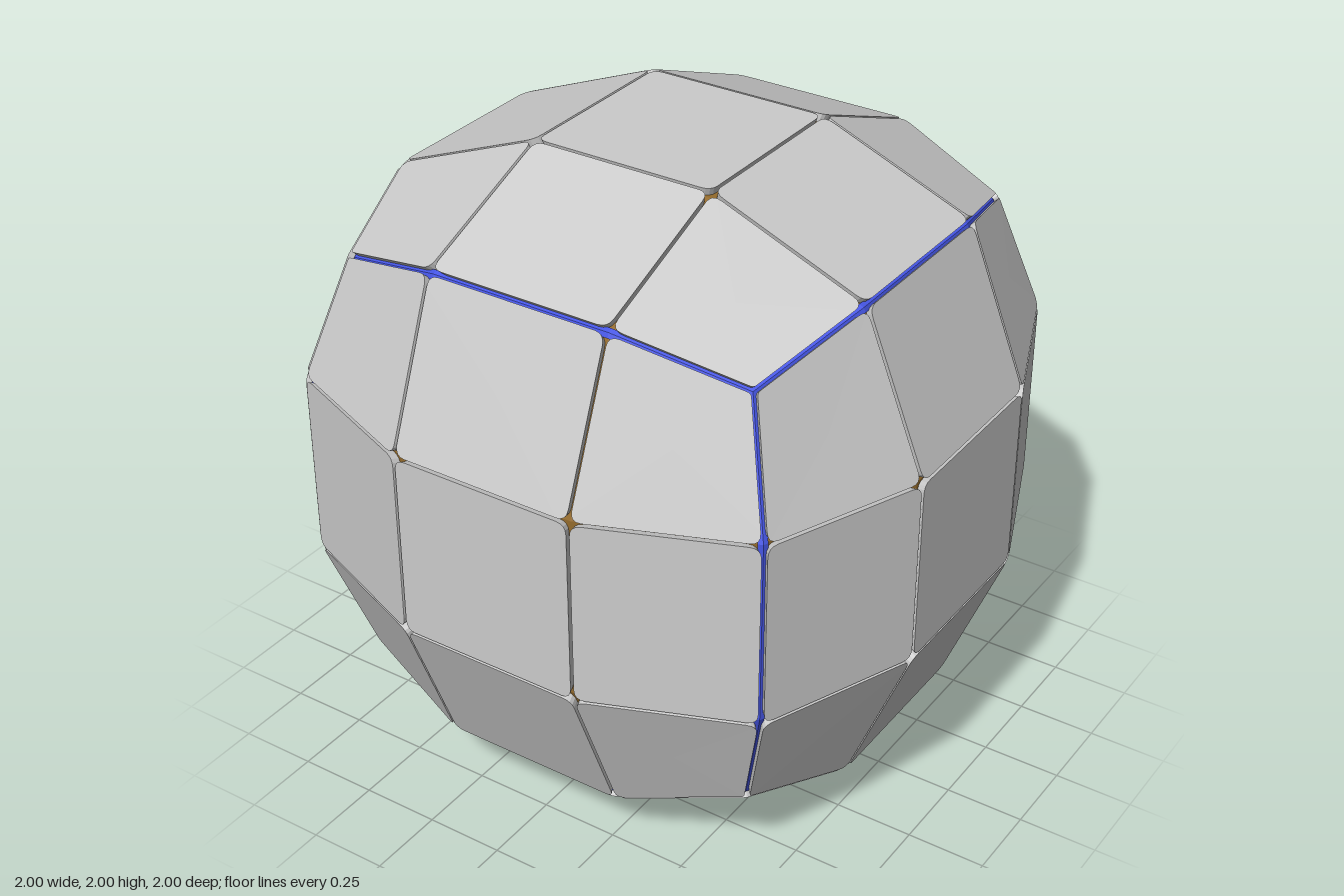
import * as THREE from 'three';

const grey = new THREE.MeshStandardMaterial({ color: 0xcccccc, flatShading: true });
const brown = new THREE.MeshStandardMaterial({ color: 0x946b2c, flatShading: true });
const blue = new THREE.MeshStandardMaterial({ color: 0x4656e6, flatShading: true });

// Corner (i, j) of the 3 x 3 tile grid on the face looking along +z
function gridPoint(i, j) {
  const sx = i < 2 ? -1 : 1, sy = j < 2 ? -1 : 1;
  const outerX = i % 3 === 0, outerY = j % 3 === 0;
  if (outerX && outerY) return new THREE.Vector3(sx * 0.69, sy * 0.69, 0.69);
  if (outerX) return new THREE.Vector3(sx * 0.8, sy * 0.3, 0.8);
  if (outerY) return new THREE.Vector3(sx * 0.3, sy * 0.8, 0.8);
  return new THREE.Vector3(sx * 0.3, sy * 0.3, 1);
}

function meshFrom(triangles, material, name) {
  const geometry = new THREE.BufferGeometry().setFromPoints(triangles);
  geometry.computeVertexNormals();
  const mesh = new THREE.Mesh(geometry, material);
  mesh.name = name;
  return mesh;
}

const quad = (a, b, c, d) => [a, b, c, a, c, d];
const cells = (i, j) => [[i, j], [i + 1, j], [i + 1, j + 1], [i, j + 1]];
const isCubeCorner = ([i, j]) => i % 3 === 0 && j % 3 === 0;
// Gap on the grid line between two corners: wider along the cube edges
function gap(a, b) {
  const border = (a[0] === b[0] && a[0] % 3 === 0) || (a[1] === b[1] && a[1] % 3 === 0);
  return border ? 0.009 : 0.005;
}

// Flat tile with rounded corners and sides running toward the centre
function makeTile(i, j) {
  const ids = cells(i, j);
  const pts = ids.map(([a, b]) => gridPoint(a, b));
  const ring = [];
  for (let k = 0; k < 4; k++) {
    const n = (k + 1) % 4, q = (k + 3) % 4;
    const toNext = pts[n].clone().sub(pts[k]).normalize();
    const toPrev = pts[q].clone().sub(pts[k]).normalize();
    const sin = toNext.clone().cross(toPrev).length();
    const p = pts[k].clone()
      .addScaledVector(toNext, gap(ids[q], ids[k]) / sin)
      .addScaledVector(toPrev, gap(ids[k], ids[n]) / sin);
    const r = isCubeCorner(ids[k]) ? 0.01 : 0.034;
    const start = p.clone().addScaledVector(toPrev, r);
    const end = p.clone().addScaledVector(toNext, r);
    ring.push(...new THREE.QuadraticBezierCurve3(start, p, end).getPoints(4));
  }
  const inner = ring.map((p) => p.clone().multiplyScalar(0.96));
  const centre = ring.reduce((s, p) => s.add(p), new THREE.Vector3()).divideScalar(ring.length);
  const tris = [];
  ring.forEach((p, k) => {
    const n = (k + 1) % ring.length;
    tris.push(centre, p, ring[n], ...quad(p, inner[k], inner[n], ring[n]));
  });
  return meshFrom(tris, grey, 'tile');
}

function makeFace() {
  const face = new THREE.Group();
  face.name = 'face';

  // Tiles and the core surface just below them
  const core = [];
  for (let i = 0; i < 3; i++) {
    for (let j = 0; j < 3; j++) {
      face.add(makeTile(i, j));
      core.push(...quad(...cells(i, j).map(([a, b]) => gridPoint(a, b).multiplyScalar(0.975))));
    }
  }
  face.add(meshFrom(core, brown, 'core'));

  // Narrow coloured seam along the cube edges
  const loop = [];
  for (let k = 0; k < 3; k++) loop.push([k, 0]);
  for (let k = 0; k < 3; k++) loop.push([3, k]);
  for (let k = 3; k > 0; k--) loop.push([k, 3]);
  for (let k = 3; k > 0; k--) loop.push([0, k]);
  const clamp = (v) => Math.min(2, Math.max(1, v));
  const outer = loop.map(([a, b]) => gridPoint(a, b).multiplyScalar(0.982));
  const inner = loop.map(([a, b], k) => {
    const dir = gridPoint(clamp(a), clamp(b)).sub(gridPoint(a, b)).normalize();
    return outer[k].clone().addScaledVector(dir, isCubeCorner([a, b]) ? 0.022 : 0.016);
  });
  const seam = [];
  loop.forEach((_, k) => {
    const n = (k + 1) % loop.length;
    seam.push(...quad(outer[k], outer[n], inner[n], inner[k]));
  });
  face.add(meshFrom(seam, blue, 'seam'));
  return face;
}

export function createModel() {
  const model = new THREE.Group();
  model.name = 'tiledBall';
  const half = Math.PI / 2;
  const sides = {
    frontFace: [0, 0], leftFace: [0, half], backFace: [0, Math.PI],
    rightFace: [0, -half], topFace: [-half, 0], bottomFace: [half, 0],
  };
  const pattern = makeFace();
  for (const [name, [rx, ry]] of Object.entries(sides)) {
    const face = pattern.clone();
    face.name = name;
    face.rotation.set(rx, ry, 0);
    face.position.y = 1;
    model.add(face);
  }
  return model;
}
